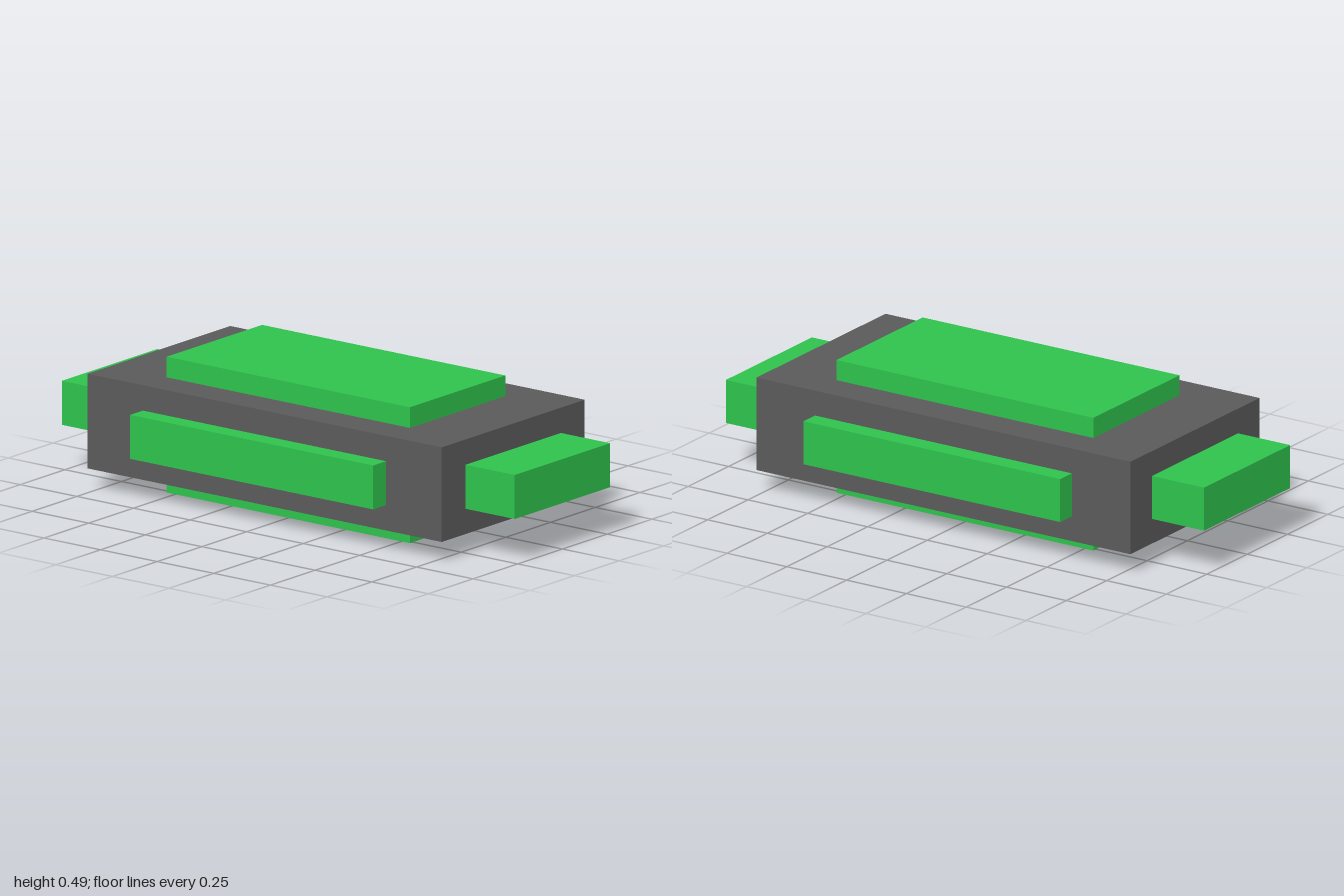
import * as THREE from 'three';

export function createModel() {
  const model = new THREE.Group();
  const grey = new THREE.MeshStandardMaterial({ color: 0x5a5a5a });
  grey.name = 'dark grey';
  const green = new THREE.MeshStandardMaterial({ color: 0x2ec24c });
  green.name = 'green';

  const center = new THREE.Vector3(0, 0.244, 0);
  const core = [1.564, 0.34, 0.8]; // body size
  const pad = [1.074, 0.158, 0.534]; // pad size across each axis
  const reach = [1, 0.244, 0.472]; // pad outer distance from the centre

  function addBox(name, size, offset, material) {
    const mesh = new THREE.Mesh(new THREE.BoxGeometry(...size), material);
    mesh.name = name;
    mesh.position.fromArray(offset).add(center);
    model.add(mesh);
  }

  // Central block
  addBox('body', core, [0, 0, 0], grey);

  // One raised pad on each of the six faces
  const names = [['rightPad', 'leftPad'], ['bottomPad', 'topPad'], ['backPad', 'frontPad']];
  names.forEach((pair, axis) => {
    const depth = reach[axis] - core[axis] / 2;
    pair.forEach((name, i) => {
      const size = [...pad];
      const offset = [0, 0, 0];
      size[axis] = depth;
      offset[axis] = (i ? 1 : -1) * (reach[axis] - depth / 2);
      addBox(name, size, offset, green);
    });
  });

  return model;
}
